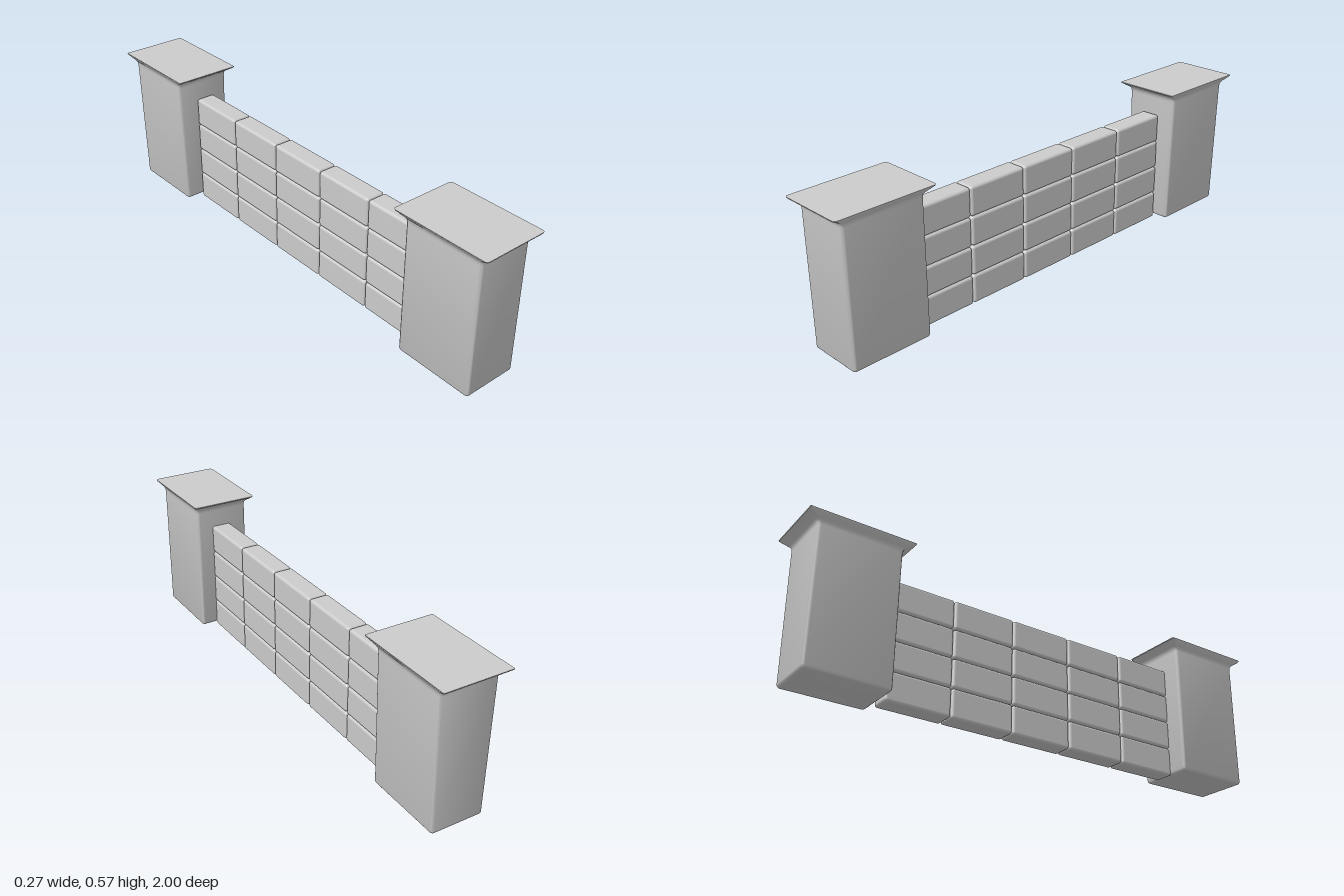
import * as THREE from 'three';
import { toCreasedNormals } from 'three/addons/utils/BufferGeometryUtils.js';
import { RoundedBoxGeometry } from 'three/addons/geometries/RoundedBoxGeometry.js';

const material = new THREE.MeshStandardMaterial({ color: 0xcccccc });

// Lofts rounded rectangles, each given as [y, half width, half depth, corner radius].
function loft(sections, cornerSteps = 4) {
  const n = 4 * (cornerSteps + 1);
  const positions = [];
  const index = [];
  for (const [y, hx, hz, r] of sections) {
    for (let c = 0; c < 4; c++) {
      const sx = c === 0 || c === 3 ? 1 : -1;
      const sz = c < 2 ? 1 : -1;
      for (let s = 0; s <= cornerSteps; s++) {
        const a = (c + s / cornerSteps) * Math.PI / 2;
        positions.push(sx * (hx - r) + r * Math.cos(a), y, sz * (hz - r) + r * Math.sin(a));
      }
    }
  }
  for (let i = 0; i < sections.length - 1; i++) {
    for (let j = 0; j < n; j++) {
      const a = i * n + j, b = i * n + (j + 1) % n;
      index.push(a, a + n, b, b, a + n, b + n);
    }
  }
  const geometry = new THREE.BufferGeometry();
  geometry.setAttribute('position', new THREE.Float32BufferAttribute(positions, 3));
  geometry.setIndex(index);
  return toCreasedNormals(geometry, 0.6);
}

// Pillar with a rounded foot and a flared, flat-topped cap.
function makePillar(name, z, footX, neckX, capZ, capRadius) {
  const hz = 0.159, r = 0.012;
  const sections = [[0.007, 0, 0, 0]];
  for (let i = 0; i <= 4; i++) {
    const a = i / 4 * Math.PI / 2;
    const inset = r * (1 - Math.sin(a));
    sections.push([0.007 + r * (1 - Math.cos(a)), footX - inset, hz - inset, r - inset * 0.8]);
  }
  sections.push(
    [0.525, neckX, hz, r],
    [0.537, neckX + 0.001, hz + 0.002, r],
    [0.545, neckX + 0.005, hz + 0.008, r],
    [0.564, 0.132, capZ - 0.001, capRadius],
    [0.568, 0.133, capZ, capRadius],
    [0.568, 0, 0, 0],
  );
  const pillar = new THREE.Mesh(loft(sections), material);
  pillar.name = name;
  pillar.position.z = z;
  return pillar;
}

export function createModel() {
  const model = new THREE.Group();
  model.name = 'wallWithPillars';

  // The rear pillar narrows slightly towards its foot.
  model.add(makePillar('frontPillar', 0.804, 0.11, 0.11, 0.196, 0.012));
  model.add(makePillar('backPillar', -0.799, 0.103, 0.1125, 0.199, 0.003));

  // Wall of bricks stacked in straight columns.
  const wall = new THREE.Group();
  wall.name = 'brickWall';
  const rows = 4, columns = 5, pitchY = 0.115, pitchZ = 0.2566;
  const brickGeometry = new RoundedBoxGeometry(0.081, pitchY - 0.001, pitchZ - 0.002, 3, 0.011);
  for (let row = 0; row < rows; row++) {
    for (let column = 0; column < columns; column++) {
      const brick = new THREE.Mesh(brickGeometry, material);
      brick.name = `brick${row + 1}_${column + 1}`;
      brick.position.set(0.0045, (row + 0.5) * pitchY, 0.0065 + (column - 2) * pitchZ);
      wall.add(brick);
    }
  }
  model.add(wall);
  return model;
}
